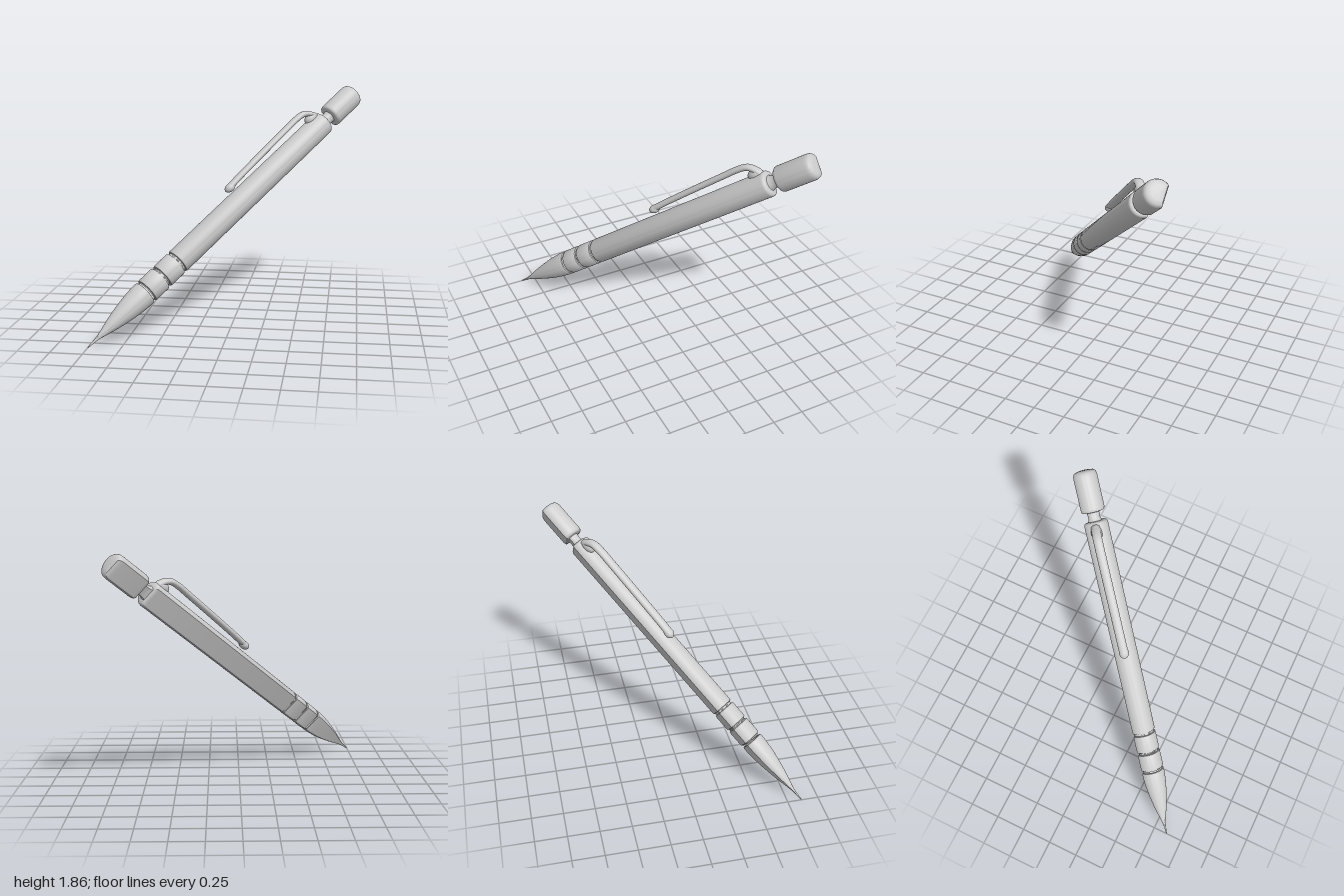
import * as THREE from 'three';
import { toCreasedNormals } from 'three/addons/utils/BufferGeometryUtils.js';

const material = new THREE.MeshStandardMaterial({ color: 0xcccccc, side: THREE.DoubleSide });

// Direction (in pen space, y along the pen) of the flattened rear side
const flat = new THREE.Vector3(-0.95, 0, -0.32).normalize();
const FLAT = 0.6;

// Turned part from [radius, distance along pen] points, flattened at the rear
function turned(name, points) {
  const geo = new THREE.LatheGeometry(points.map(([r, y]) => new THREE.Vector2(r, y)), 64);
  const pos = geo.attributes.position;
  const v = new THREE.Vector3();
  for (let i = 0; i < pos.count; i++) {
    v.fromBufferAttribute(pos, i);
    const over = v.dot(flat) - FLAT * Math.hypot(v.x, v.z);
    if (over > 0) v.addScaledVector(flat, -over);
    pos.setXYZ(i, v.x, v.y, v.z);
  }
  const mesh = new THREE.Mesh(toCreasedNormals(geo, 0.6), material);
  mesh.name = name;
  return mesh;
}

// Smooth profile through a few points
function smooth(points, n) {
  const curve = new THREE.SplineCurve(points.map(p => new THREE.Vector2(...p)));
  return curve.getPoints(n).map(p => [Math.max(p.x, 0), p.y]);
}

// Band with softly rounded ends
function band(y0, y1, r) {
  return [[r - 0.016, y0 - 0.008], [r - 0.014, y0], [r - 0.004, y0 + 0.003], [r, y0 + 0.012],
    [r, y1 - 0.012], [r - 0.004, y1 - 0.003], [r - 0.014, y1], [r - 0.016, y1 + 0.008]];
}

export function createModel() {
  const pen = new THREE.Group();
  pen.name = 'mechanicalPencil';

  // Pointed nose cone
  pen.add(turned('noseCone', [[0, 0], ...smooth([[0.004, 0.002], [0.012, 0.09], [0.026, 0.15],
    [0.055, 0.26], [0.083, 0.4], [0.098, 0.52], [0.101, 0.595]], 36),
    [0.096, 0.603], [0.086, 0.607]]));

  // Grip bands between three grooves
  const grooves = [0.615, 0.78, 0.95];
  for (let i = 0; i < 2; i++) {
    pen.add(turned('gripBand' + (i + 1), band(grooves[i] + 0.009, grooves[i + 1] - 0.009, 0.102)));
  }

  // Barrel with rounded upper shoulder
  pen.add(turned('barrel', [[0.086, 0.95], [0.088, 0.959], [0.098, 0.962], [0.102, 0.972],
    [0.102, 2.7], [0.1, 2.713], [0.094, 2.722], [0.084, 2.727], [0.05, 2.729]]));

  // Narrow neck
  pen.add(turned('neck', smooth([[0.064, 2.72], [0.054, 2.74], [0.05, 2.77], [0.054, 2.8], [0.06, 2.82]], 12)));

  // Push button
  pen.add(turned('pushButton', [[0, 2.8], [0.074, 2.8], [0.09, 2.804], [0.098, 2.813], [0.101, 2.828],
    [0.101, 3.07], [0.099, 3.09], [0.092, 3.106], [0.08, 3.116], [0.05, 3.121], [0, 3.123]]));

  // Pocket clip: bent bar, wider than thick, with a rounded end
  const clip = new THREE.Group();
  clip.name = 'pocketClip';
  const path = new THREE.CatmullRomCurve3([[1.68, 0.155], [1.8, 0.163], [2.1, 0.175], [2.4, 0.184],
    [2.53, 0.187], [2.61, 0.175], [2.66, 0.135], [2.69, 0.085], [2.695, 0.04]]
    .map(([y, z]) => new THREE.Vector3(0, y, z)));
  const bar = new THREE.Mesh(new THREE.TubeGeometry(path, 60, 0.025, 16), material);
  bar.name = 'clipBar';
  bar.scale.x = 1.45;
  const end = new THREE.Mesh(new THREE.SphereGeometry(0.033, 24, 16), material);
  end.name = 'clipEnd';
  end.scale.set(1.2, 1.5, 1);
  end.position.set(0, 1.685, 0.15);
  // Solid root joining the clip to the barrel
  const root = new THREE.Mesh(new THREE.SphereGeometry(0.05, 24, 16), material);
  root.name = 'clipRoot';
  root.scale.set(0.85, 1.3, 1);
  root.position.set(0, 2.645, 0.1);
  clip.add(bar, end, root);
  pen.add(clip);

  // Lean the pen from its point along the diagonal, clip side up
  const along = new THREE.Vector3(1, 0.932, -0.874).normalize();
  const side = new THREE.Vector3().crossVectors(along, new THREE.Vector3(-0.49, 0.84, 0.24)).normalize();
  const out = new THREE.Vector3().crossVectors(side, along);
  pen.quaternion.setFromRotationMatrix(new THREE.Matrix4().makeBasis(side, along, out));
  pen.position.set(-0.998, 0.003, 0.863);

  const model = new THREE.Group();
  model.name = 'model';
  model.add(pen);
  return model;
}
